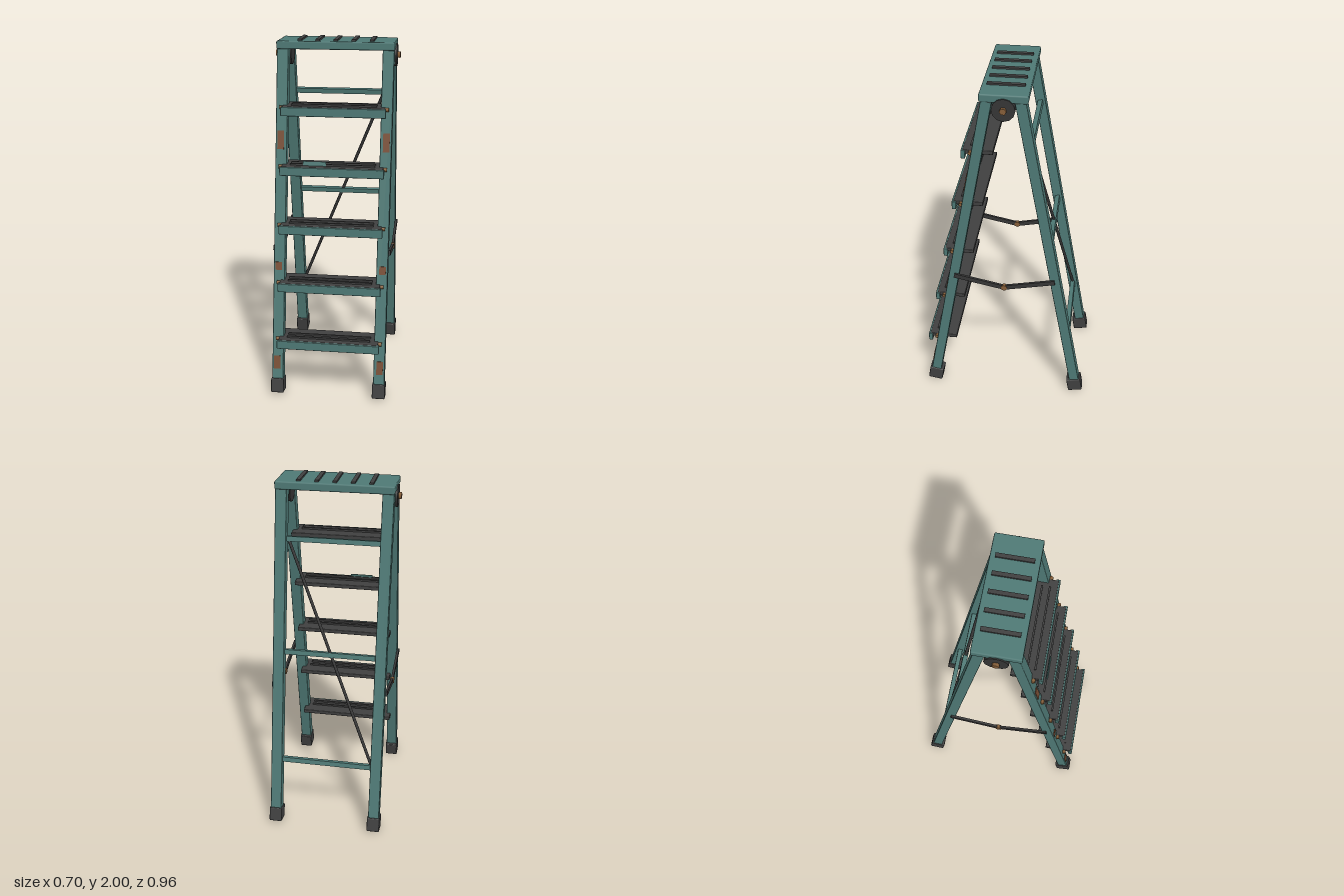
import * as THREE from 'three';
import { RoundedBoxGeometry } from 'three/addons/geometries/RoundedBoxGeometry.js';

const mat = (name, color) => {
  const m = new THREE.MeshStandardMaterial({ color });
  m.name = name;
  return m;
};

const SLOPE = 0.183;
const TILT = Math.atan(SLOPE);
const railZ = (y) => 0.09 + (1.94 - y) * SLOPE; // distance of the leg axis from the centre plane

export function createModel() {
  const paint = mat('teal paint', 0x4f7a76);
  const rubber = mat('dark rubber', 0x404040);
  const metal = mat('dark metal', 0x363636);
  const rust = mat('rust', 0x7a4f36);
  const bronze = mat('bronze', 0x87603a);
  const model = new THREE.Group();
  model.name = 'stepladder';

  const add = (name, geometry, material, x, y, z, rx = 0, parent = model) => {
    const mesh = new THREE.Mesh(geometry, material);
    mesh.name = name;
    mesh.position.set(x, y, z);
    mesh.rotation.x = rx;
    parent.add(mesh);
    return mesh;
  };
  const box = (w, h, d) => new THREE.BoxGeometry(w, h, d);
  const soft = (w, h, d, r) => new RoundedBoxGeometry(w, h, d, 1, r);
  // Cylinder lying along x
  const axle = (r, length, sides) =>
    new THREE.CylinderGeometry(r, r, length, sides).toNonIndexed().rotateZ(Math.PI / 2);

  // Top platform with grip strips
  add('platform', soft(0.656, 0.045, 0.256, 0.008), paint, 0, 1.968, 0);
  for (let i = -2; i <= 2; i++) {
    add('gripStrip', box(0.023, 0.012, 0.2), rubber, i * 0.1, 1.994, 0);
  }

  // Four splayed legs with rubber feet
  const legLength = 1.88 / Math.cos(TILT);
  for (const end of [1, -1]) {
    const endName = end > 0 ? 'front' : 'back';
    for (const side of [1, -1]) {
      const x = side * 0.293;
      add(endName + 'Leg', soft(0.064, legLength, 0.058, 0.004), paint, x, 1.01, end * railZ(1.01), -end * TILT);
      add(endName + 'Foot', soft(0.074, 0.084, 0.086, 0.006), rubber, x, 0.05, end * 0.432, -end * TILT);
    }
  }

  // Steps: dark tread, painted nose lip, two ribs and end bolts
  for (let i = 0; i < 5; i++) {
    const y = 0.33 + i * 0.325;
    const step = new THREE.Group();
    step.name = 'step';
    step.position.set(0, y, railZ(y));
    model.add(step);
    add('tread', soft(0.57, 0.024, 0.165, 0.004), rubber, 0, 0.002, -0.003, 0, step);
    add('noseLip', soft(0.584, 0.05, 0.024, 0.004), paint, 0, -0.013, 0.076, 0, step);
    for (const z of [-0.005, 0.037]) {
      add('rib', box(0.476, 0.012, 0.01), rubber, 0, 0.018, z, 0, step);
    }
    for (const side of [1, -1]) {
      add('stepBolt', axle(0.011, 0.022, 8), bronze, side * 0.293, 0.002, 0.036, 0, step);
    }
  }

  // Rear cross rungs
  for (const y of [0.393, 1.04, 1.676]) {
    add('rearRung', box(0.54, 0.028, 0.027), paint, 0, y, -railZ(y), TILT);
  }

  // Diagonal brace between the rear legs
  const a = new THREE.Vector3(-0.26, 0.41, -railZ(0.41));
  const b = new THREE.Vector3(0.25, 1.67, -railZ(1.67));
  const brace = add('diagonalBrace', new THREE.CylinderGeometry(0.009, 0.009, a.distanceTo(b), 8), metal, 0, 0, 0);
  brace.position.copy(a).lerp(b, 0.5);
  brace.quaternion.setFromUnitVectors(new THREE.Vector3(0, 1, 0), b.clone().sub(a).normalize());

  for (const side of [1, -1]) {
    // Top hinge
    add('hingeDisc', axle(0.063, 0.078, 12), metal, side * 0.296, 1.91, 0);
    add('hingeBolt', axle(0.019, 0.03, 6), bronze, side * 0.337, 1.91, 0);

    // Folding spreader
    const rise = 0.06, run = 0.285;
    for (const end of [1, -1]) {
      add('spreaderBar', box(0.014, 0.027, Math.hypot(rise, run) + 0.01), metal,
        side * 0.329, 0.807, end * run / 2, -end * Math.atan(rise / run));
    }
    add('spreaderPivot', axle(0.018, 0.022, 8), bronze, side * 0.329, 0.778, 0);

    // Rust patches on the front legs
    for (const [y, h] of [[1.453, 0.105], [0.748, 0.046], [0.192, 0.077]]) {
      add('rustPatch', box(0.037, h, 0.006), rust, side * 0.296, y, railZ(y) + 0.0305, -TILT);
    }
  }

  // Loose flake of paint on the fourth step
  add('paintFlake', box(0.13, 0.026, 0.004), paint, -0.1, 1.33, 0.246, -TILT);

  return model;
}
